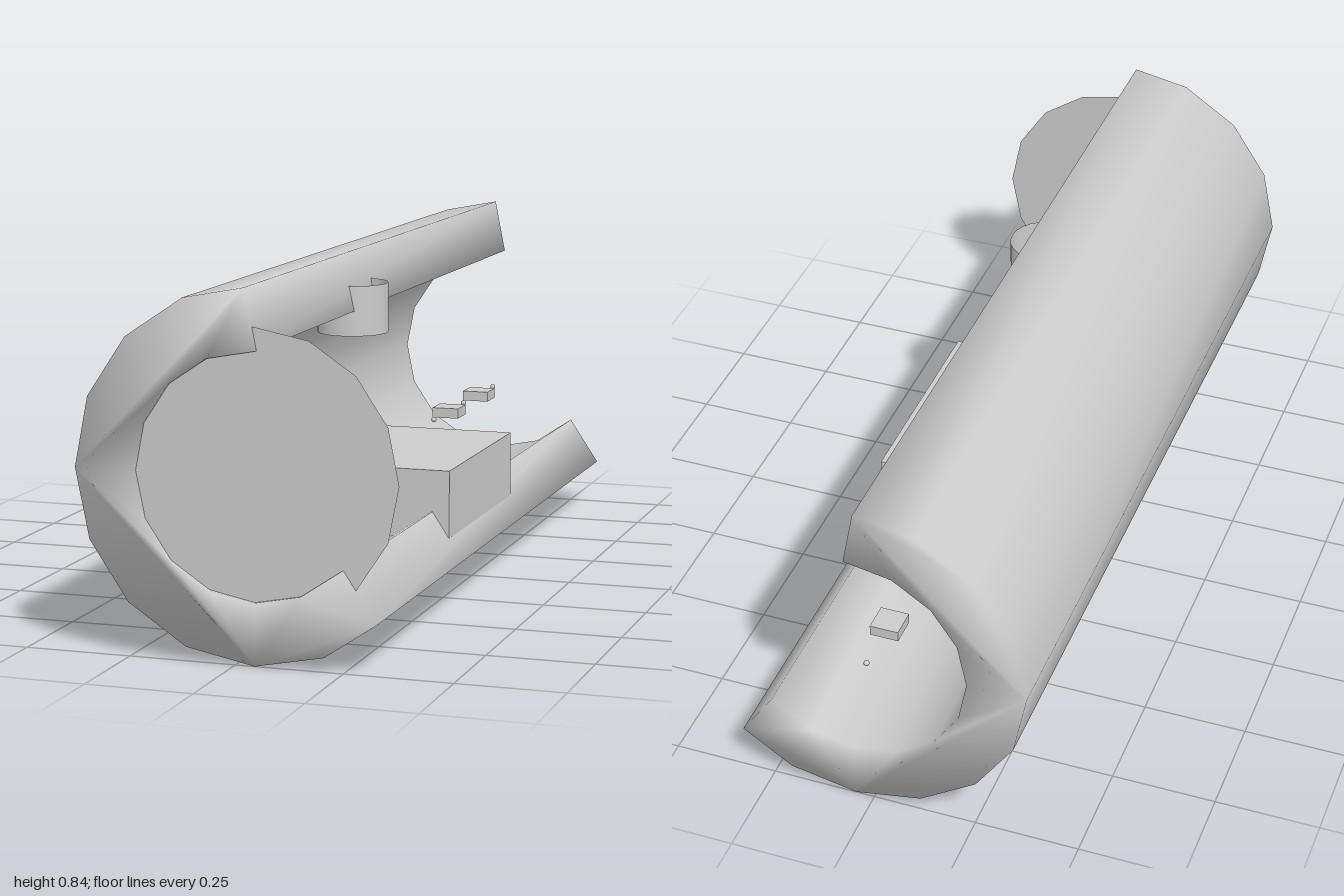
import * as THREE from 'three';
import { mergeVertices } from 'three/addons/utils/BufferGeometryUtils.js';

const CX = 0.045, CY = 0.422;

export function createModel() {
  const model = new THREE.Group();
  const grey = new THREE.MeshStandardMaterial({ color: 0xcccccc, side: THREE.DoubleSide });

  const add = (name, geometry, x = 0, y = 0, z = 0) => {
    const mesh = new THREE.Mesh(geometry, grey);
    mesh.name = name;
    mesh.position.set(x, y, z);
    model.add(mesh);
    return mesh;
  };

  // Points of the faceted arc, from the upper lip round to the lower lip
  const arc = (radius) => {
    const points = [];
    for (let deg = 112.5; deg <= 292.5; deg += 22.5) {
      const a = THREE.MathUtils.degToRad(deg);
      points.push(new THREE.Vector2(CX + radius * Math.cos(a), CY + radius * Math.sin(a)));
    }
    return points;
  };

  // Open C-shaped shell, shaded smoothly over all its edges
  const profile = new THREE.Shape([
    new THREE.Vector2(0.025, 0.837), ...arc(0.42), new THREE.Vector2(0.325, 0.115),
    new THREE.Vector2(0.248, 0.23), ...arc(0.278).reverse(), new THREE.Vector2(0.052, 0.7),
  ]);
  let shell = new THREE.ExtrudeGeometry(profile, { depth: 2, bevelEnabled: false });
  shell.deleteAttribute('normal');
  shell.deleteAttribute('uv');
  shell = mergeVertices(shell, 1e-4);
  shell.computeVertexNormals();
  add('shell', shell, 0, 0, -1);

  // Thin plate closing the front end
  add('frontPlate', new THREE.CircleGeometry(0.33, 16), CX, CY, 0.993);

  // Block sunk into the floor of the shell
  add('block', new THREE.BoxGeometry(0.54, 0.21, 0.545), 0.02, 0.225, 0.062);

  // Open sleeve passing through the upper lip
  add('sleeve', new THREE.CylinderGeometry(0.085, 0.085, 0.12, 24, 1, true), 0.022, 0.7, 0.25);

  // Row of small switches with indicator beads between them
  for (const z of [-0.483, -0.768]) {
    add('switch', new THREE.BoxGeometry(0.07, 0.026, 0.07), 0.045, 0.328, z);
  }
  for (const z of [-0.345, -0.62, -0.91]) {
    add('bead', new THREE.SphereGeometry(0.007, 12, 8), 0.045, 0.328, z);
  }

  return model;
}
